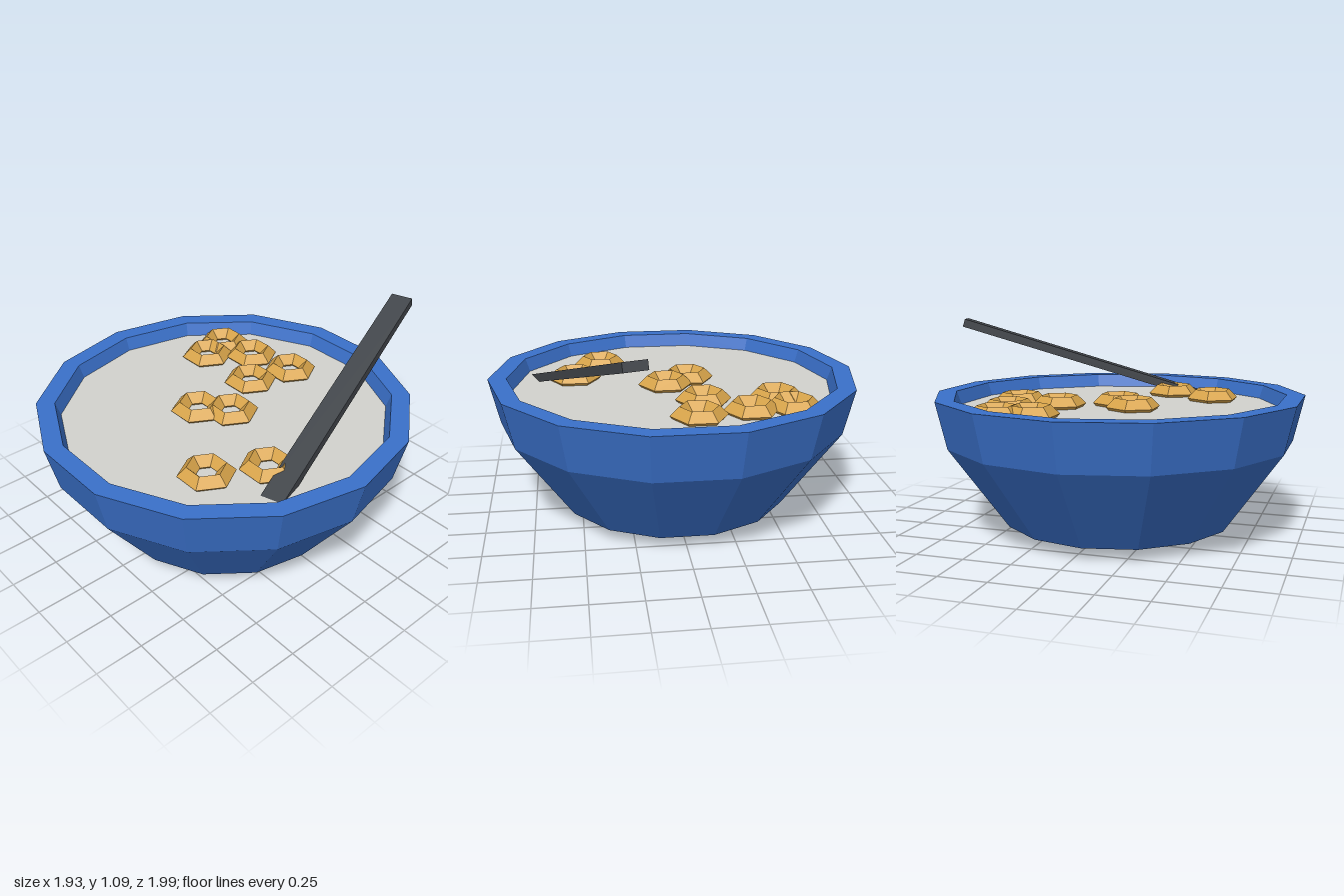
import * as THREE from 'three';

const mat = (name, color) => {
  const m = new THREE.MeshStandardMaterial({ color, flatShading: true });
  m.name = name;
  return m;
};

export function createModel() {
  const blue = mat('bowl blue', 0x3a70c9);
  const white = mat('milk white', 0xd2d2cd);
  const gold = mat('cereal gold', 0xd9a54b);
  const dark = mat('spoon grey', 0x42464b);

  const SIDES = 14;
  const MILK_Y = 0.66;
  const model = new THREE.Group();
  model.name = 'cerealBowl';

  const add = (parent, name, geometry, material) => {
    const mesh = new THREE.Mesh(geometry, material);
    mesh.name = name;
    parent.add(mesh);
    return mesh;
  };

  // Bowl with its contents sits slightly forward of the origin
  const dish = new THREE.Group();
  dish.name = 'dish';
  dish.position.z = 0.05;
  model.add(dish);

  // Outer wall from the foot up, over the rim and down the inside
  const profile = [
    [0, 0], [0.36, 0], [0.605, 0.065], [0.91, 0.49], [0.966, 0.73],
    [0.87, 0.73], [0.845, MILK_Y], [0.8, 0.48], [0.53, 0.12], [0, 0.07],
  ].map(([r, y]) => new THREE.Vector2(r, y));
  const bowlGeo = new THREE.LatheGeometry(profile, SIDES).rotateY(Math.PI / 2);
  add(dish, 'bowl', bowlGeo, blue);

  // Milk surface
  const milk = add(dish, 'milk', new THREE.CircleGeometry(0.846, SIDES).rotateX(-Math.PI / 2), white);
  milk.position.y = MILK_Y;

  // Floating cereal rings: six-sided, diamond cross-section
  const ringGeo = new THREE.TorusGeometry(0.096, 0.047, 4, 6).rotateX(-Math.PI / 2);
  const cereal = new THREE.Group();
  cereal.name = 'cereal';
  model.add(cereal);
  [
    [-0.54, -0.405], [-0.49, -0.245], [-0.325, -0.435], [-0.062, -0.485], [-0.12, -0.24],
    [0.04, 0.04], [-0.09, 0.152], [0.515, 0.22], [0.365, 0.475],
  ].forEach(([x, z]) => {
    add(cereal, 'cerealRing', ringGeo, gold).position.set(x, 0.675, z);
  });

  // Spoon handle, from its raised back end down into the milk
  const spoon = new THREE.Group();
  spoon.name = 'spoon';
  spoon.position.set(0.28, 1.09, -0.97);
  spoon.lookAt(0.69, 0.665, 0.355);
  model.add(spoon);
  const length = 1.52;
  const handle = add(spoon, 'spoonHandle', new THREE.BoxGeometry(0.115, 0.045, length), dark);
  handle.position.set(0, -0.0225, length / 2);

  return model;
}
